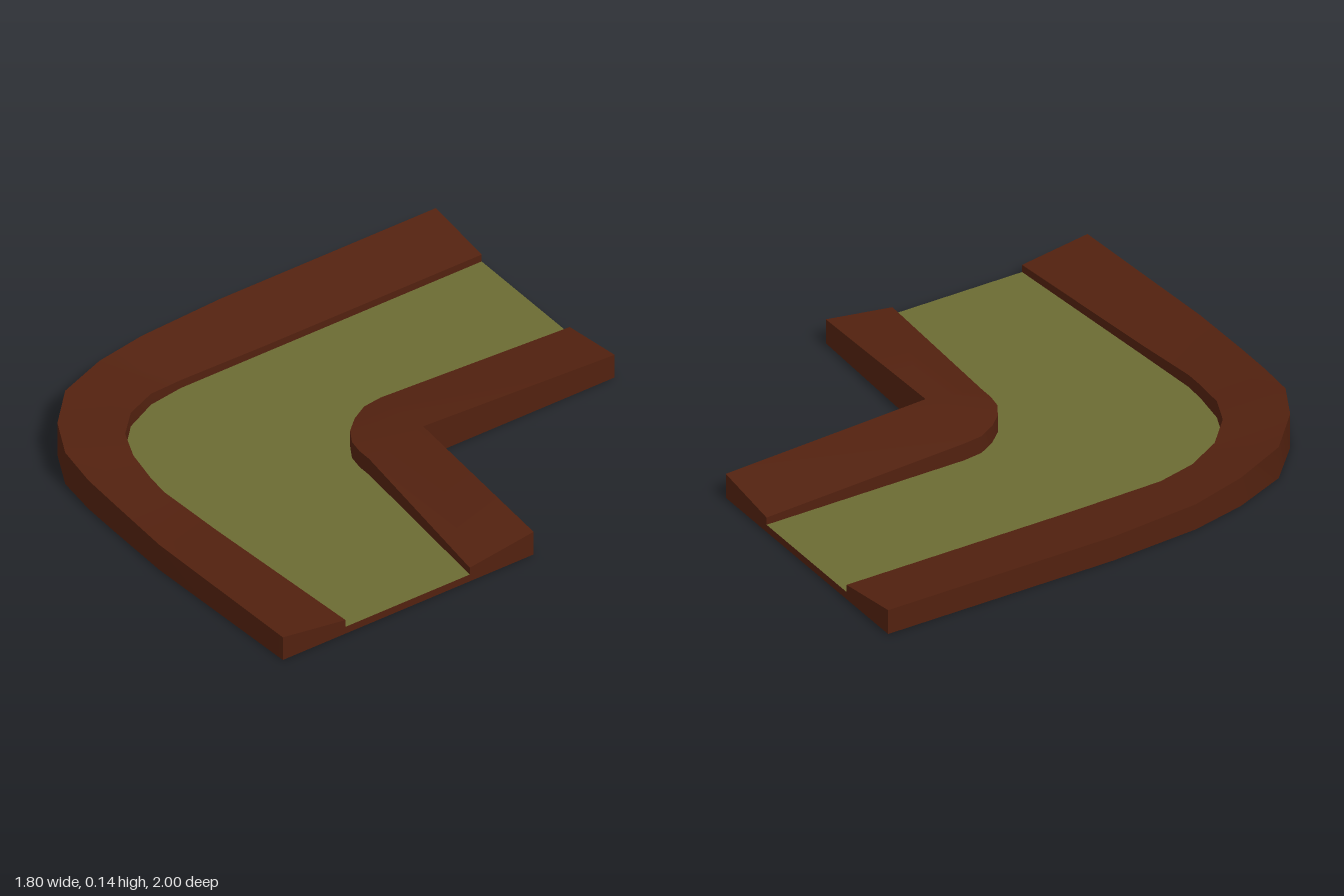
import * as THREE from 'three';
import { toCreasedNormals } from 'three/addons/utils/BufferGeometryUtils.js';

const brown = new THREE.MeshStandardMaterial({ color: 0x52210f });
const green = new THREE.MeshStandardMaterial({ color: 0x6b6b33 });
const FLOOR = 0.03; // height of the track surface
const LIP = 0.04;   // drop of each bank from its outer edge to the track

// Plan curves as [x, z], running from the back end round to the left end
const outerEdge = [[-0.9, -1], [-0.9, -0.05], [-0.875, 0.31], [-0.825, 0.53], [-0.735, 0.745], [-0.58, 0.89],
  [-0.42, 0.97], [-0.25, 0.99], [-0.08, 0.995], [0.2, 1], [0.9, 0.96]];
const outerLip = [[-0.62, -1], [-0.62, -0.05], [-0.62, 0.32], [-0.6, 0.465], [-0.535, 0.6], [-0.43, 0.7],
  [-0.31, 0.75], [-0.17, 0.77], [-0.08, 0.775], [0.2, 0.75], [0.9, 0.685]];
const outerHeights = [0.1, 0.1, 0.105, 0.118, 0.13, 0.141, 0.138, 0.125, 0.12, 0.11, 0.1];

const innerLip = [[-0.08, -1], [-0.08, -0.17], [-0.07, -0.09], [-0.03, -0.02], [0.02, 0.035],
  [0.08, 0.07], [0.14, 0.08], [0.2, 0.08], [0.9, 0.14]];
const last = innerLip.length - 1;
const innerEdge = innerLip.map((p, i) => (i === 0 ? [0.195, -1] : i === last ? [0.9, -0.14] : [0.195, -0.16]));
const innerHeights = innerLip.map((p, i) => (i === 0 || i === last ? 0.1 : 0.14));
// Underneath, the inner lip meets in a sharp corner
const innerLipBottom = innerLip.map((p, i) => (i > 1 && i < last - 1 ? [-0.08, 0.075] : p));

// Lift a plan curve to a constant height or a list of heights
const lift = (curve, h) => curve.map(([x, z], i) => new THREE.Vector3(x, Array.isArray(h) ? h[i] : h, z));

// Strip of triangles between two curves, skipping collapsed ones
function strip(out, a, b) {
  for (let i = 0; i < a.length - 1; i++) {
    for (const t of [[a[i], a[i + 1], b[i]], [a[i + 1], b[i + 1], b[i]]]) {
      if (new THREE.Triangle(...t).getArea() > 1e-7) t.forEach((p) => out.push(p.x, p.y, p.z));
    }
  }
}

function addMesh(group, name, geometry, material) {
  const mesh = new THREE.Mesh(geometry, material);
  mesh.name = name;
  group.add(mesh);
}

function fromPositions(list) {
  const g = new THREE.BufferGeometry();
  g.setAttribute('position', new THREE.Float32BufferAttribute(list, 3));
  return toCreasedNormals(g, 0.5);
}

// Sloping bank: outer wall, top, lip wall, underside and two end caps
function bank(edge, lip, heights, lipBottom = lip, reverse = false) {
  const base = lift(edge, 0);
  const top = lift(edge, heights);
  const lipTop = lift(lip, heights.map((h) => h - LIP));
  const lipBase = lift(lip, FLOOR);
  const under = lift(lipBottom, 0);
  if (reverse) [base, top, lipTop, lipBase, under].forEach((c) => c.reverse());
  const out = [];
  strip(out, base, top);
  strip(out, top, lipTop);
  strip(out, lipTop, lipBase);
  strip(out, under, base);
  const n = base.length - 1;
  strip(out, [under[0], base[0]], [lipTop[0], top[0]]);
  strip(out, [base[n], under[n]], [top[n], lipTop[n]]);
  return fromPositions(out);
}

// Flat sheet between two plan curves, facing up or down
function sheet(a, b, y, up) {
  const s = up ? -1 : 1;
  const points = [...a, ...[...b].reverse()].map(([x, z]) => new THREE.Vector2(x, s * z));
  const g = new THREE.ShapeGeometry(new THREE.Shape(points));
  return g.rotateX(s * Math.PI / 2).translate(0, y, 0);
}

export function createModel() {
  const group = new THREE.Group();
  group.name = 'trackCorner';

  addMesh(group, 'outerBank', bank(outerEdge, outerLip, outerHeights), brown);
  addMesh(group, 'innerBank', bank(innerEdge, innerLip, innerHeights, innerLipBottom, true), brown);

  // Track surface and its underside
  addMesh(group, 'trackSurface', sheet(outerLip, innerLip, FLOOR, true), green);
  addMesh(group, 'trackUnderside', sheet(outerLip, innerLipBottom, 0, false), green);

  // Thin edges closing the track at both open ends
  const ends = [];
  const backEnd = [innerLip[0], outerLip[0]];
  const leftEnd = [outerLip[outerLip.length - 1], innerLip[last]];
  for (const e of [backEnd, leftEnd]) strip(ends, lift(e, 0), lift(e, FLOOR));
  addMesh(group, 'trackEnds', fromPositions(ends), brown);

  return group;
}
